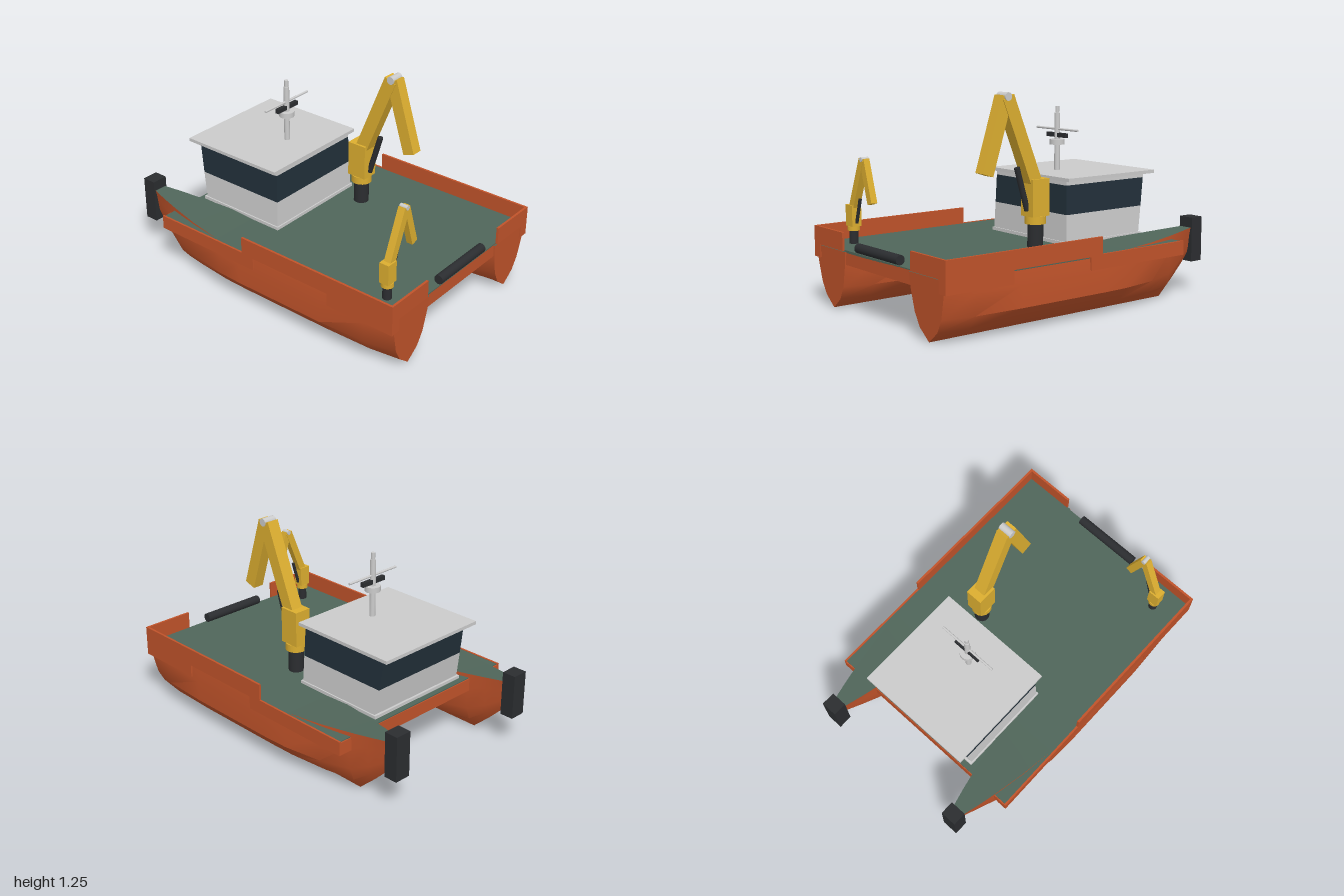
import * as THREE from 'three';
import { toCreasedNormals } from 'three/addons/utils/BufferGeometryUtils.js';

const mat = (color) => new THREE.MeshStandardMaterial({ color, side: THREE.DoubleSide });
const ORANGE = mat(0xc0532a), GREEN = mat(0x50665a), GREY = mat(0xcccccc);
const YELLOW = mat(0xdcae30), DARK = mat(0x2b2d30), GLASS = mat(0x22303a);

function add(parent, name, geometry, material, x = 0, y = 0, z = 0) {
  const mesh = new THREE.Mesh(geometry, material);
  mesh.name = name;
  mesh.position.set(x, y, z);
  parent.add(mesh);
  return mesh;
}

// Box given by its limits on each axis
function block(parent, name, material, [x0, x1], [y0, y1], [z0, z1]) {
  return add(parent, name, new THREE.BoxGeometry(x1 - x0, y1 - y0, z1 - z0), material,
    (x0 + x1) / 2, (y0 + y1) / 2, (z0 + z1) / 2);
}

function rod(parent, name, material, r, y0, y1, x = 0, z = 0, sides = 16) {
  return add(parent, name, new THREE.CylinderGeometry(r, r, y1 - y0, sides), material, x, (y0 + y1) / 2, z);
}

// Skin over rows of points that all have the same length
function skin(rows, crease = 0.6) {
  const n = rows[0].length, index = [];
  for (let i = 0; i < rows.length - 1; i++) {
    for (let j = 0; j < n - 1; j++) {
      const a = i * n + j, b = a + n;
      index.push(a, a + 1, b, b, a + 1, b + 1);
    }
  }
  const g = new THREE.BufferGeometry();
  g.setAttribute('position', new THREE.Float32BufferAttribute(rows.flat(2), 3));
  g.setIndex(index);
  return toCreasedNormals(g, crease);
}

// Hull stations: z, deck half width, side half width, chine half width, keel y, chine y, deck y
const STATIONS = [
  [0.99, 0.16, 0.15, 0.12, 0, 0.14, 0.35],
  [0.80, 0.165, 0.17, 0.16, 0, 0.14, 0.35],
  [0.50, 0.165, 0.175, 0.174, 0, 0.14, 0.35],
  [-0.10, 0.165, 0.175, 0.174, 0, 0.14, 0.355],
  [-0.26, 0.16, 0.17, 0.168, 0, 0.14, 0.358],
  [-0.50, 0.128, 0.135, 0.13, 0, 0.14, 0.37],
  [-0.69, 0.092, 0.09, 0.082, 0, 0.15, 0.382],
  [-0.80, 0.068, 0.06, 0.05, 0.10, 0.20, 0.39],
  [-0.88, 0.048, 0.038, 0.028, 0.18, 0.25, 0.396],
  [-0.95, 0.03, 0.02, 0.012, 0.26, 0.30, 0.40],
];

function hull(x) {
  const g = new THREE.Group();
  g.name = 'hull';
  g.position.x = x;
  const rows = STATIONS.map(([z, deck, side, chine, keel, chineY, top], i) => {
    const half = [[deck, top], [side, chineY + (top - chineY) * 0.6], [chine, chineY],
      [chine * 0.66, keel + (chineY - keel) * 0.46]];
    const outline = [...half, [0, keel], ...half.slice().reverse().map(([px, py]) => [-px, py])];
    // the transom leans slightly aft towards the top
    return outline.map(([px, py]) => [px, py, z + (i === 0 ? py * 0.04 - 0.01 : 0)]);
  });
  add(g, 'hullShell', skin(rows), ORANGE);
  add(g, 'foredeck', skin(rows.map((r) => [r[r.length - 1], r[0]])), GREEN);
  const middle = rows[0].map((p) => [0, p[1], p[2]]);
  add(g, 'transom', skin([rows[0], middle]), ORANGE);
  block(g, 'bowFender', DARK, [-0.05, 0.05], [0.19, 0.46], [-1, -0.915]);
  return g;
}

// Tapered ring of walls; each level is [y, half width, z aft, z forward]
function walls(parent, name, material, levels) {
  const rows = levels.map(([y, w, z0, z1]) =>
    [[-w, y, z0], [w, y, z0], [w, y, z1], [-w, y, z1], [-w, y, z0]]);
  add(parent, name, skin(rows), material);
}

// Beam between two points in the crane's yz plane
function beam(parent, name, material, [z0, y0], [z1, y1], width, depth, round = false) {
  const len = Math.hypot(z1 - z0, y1 - y0);
  const geo = round ? new THREE.CylinderGeometry(width / 2, width / 2, len, 12)
    : new THREE.BoxGeometry(width, len, depth);
  const m = add(parent, name, geo, material, 0, (y0 + y1) / 2, (z0 + z1) / 2);
  m.rotation.x = Math.atan2(z1 - z0, y1 - y0);
}

// Folding crane standing on y = 0 and reaching towards +z
function crane(name) {
  const g = new THREE.Group();
  g.name = name;
  rod(g, 'pedestal', DARK, 0.046, 0, 0.15);
  rod(g, 'slewRing', YELLOW, 0.062, 0.14, 0.185);
  block(g, 'housing', YELLOW, [-0.053, 0.053], [0.185, 0.4], [-0.062, 0.062]);
  beam(g, 'boom', YELLOW, [0.005, 0.34], [0.22, 0.87], 0.076, 0.08);
  beam(g, 'jib', YELLOW, [0.228, 0.872], [0.363, 0.446], 0.068, 0.076);
  beam(g, 'ram', DARK, [0.06, 0.22], [0.135, 0.47], 0.034, 0.034, true);
  rod(g, 'elbowPin', GREY, 0.024, -0.042, 0.042).rotation.z = Math.PI / 2;
  g.getObjectByName('elbowPin').position.set(0, 0.873, 0.224);
  return g;
}

export function createModel() {
  const model = new THREE.Group();
  model.name = 'workCatamaran';

  // Hulls and bridge deck
  for (const s of [-1, 1]) model.add(hull(s * 0.485));
  block(model, 'bridgeDeck', ORANGE, [-0.645, 0.645], [0.275, 0.353], [-0.705, 0.985]);
  block(model, 'deckSurface', GREEN, [-0.652, 0.652], [0.345, 0.359], [-0.7, 0.985]);

  // Rubbing strakes, side bulwarks and their stern returns
  for (const s of [-1, 1]) {
    const across = (a, b) => (s > 0 ? [a, b] : [-b, -a]);
    block(model, 'aftStrake', ORANGE, across(0.6, 0.664), [0.278, 0.354], [0.56, 0.998]);
    block(model, 'foreStrake', ORANGE, across(0.6, 0.664), [0.278, 0.354], [-0.708, 0.02]);
    block(model, 'strakeEdge', ORANGE, across(0.652, 0.664), [0.35, 0.362], [-0.708, -0.06]);
    block(model, 'sideBulwark', ORANGE, across(0.65, 0.664), [0.354, 0.46], [-0.065, 0.998]);
    block(model, 'sternBulwark', ORANGE, across(0.345, 0.664), [0.354, 0.46], [0.984, 0.998]);
  }

  // Stern roller
  rod(model, 'sternRoller', DARK, 0.028, -0.212, 0.212).rotation.z = Math.PI / 2;
  model.getObjectByName('sternRoller').position.set(0, 0.387, 0.972);

  // Wheelhouse
  const house = new THREE.Group();
  house.name = 'wheelhouse';
  model.add(house);
  block(house, 'plinth', GREY, [-0.35, 0.35], [0.355, 0.378], [-0.665, -0.07]);
  walls(house, 'lowerWalls', GREY, [[0.37, 0.342, -0.078, -0.65], [0.535, 0.334, -0.083, -0.675]]);
  walls(house, 'windowBand', GLASS, [[0.535, 0.334, -0.083, -0.675], [0.705, 0.327, -0.088, -0.698]]);
  walls(house, 'upperWalls', GREY, [[0.705, 0.327, -0.088, -0.698], [0.735, 0.326, -0.089, -0.702]]);
  block(house, 'roof', GREY, [-0.365, 0.365], [0.73, 0.75], [-0.756, -0.072]);

  // Mast with radar and aerial bar
  const mast = new THREE.Group();
  mast.name = 'mast';
  mast.position.z = -0.295;
  model.add(mast);
  rod(mast, 'mastPole', GREY, 0.017, 0.745, 1.095);
  rod(mast, 'mastTip', GREY, 0.012, 1.09, 1.135);
  rod(mast, 'mastCollar', GREY, 0.046, 0.905, 0.937);
  block(mast, 'radarBar', DARK, [-0.087, 0.087], [0.949, 0.975], [-0.012, 0.012]);
  rod(mast, 'aerialBar', GREY, 0.007, -0.187, 0.187).rotation.z = Math.PI / 2;
  mast.getObjectByName('aerialBar').position.y = 0.998;

  // Deck cranes
  const main = crane('mainCrane');
  main.position.set(0.25, 0.355, 0.08);
  const small = crane('smallCrane');
  small.position.set(-0.492, 0.355, 0.835);
  small.rotation.y = Math.PI / 2;
  small.scale.setScalar(0.58);
  model.add(main, small);

  return model;
}
